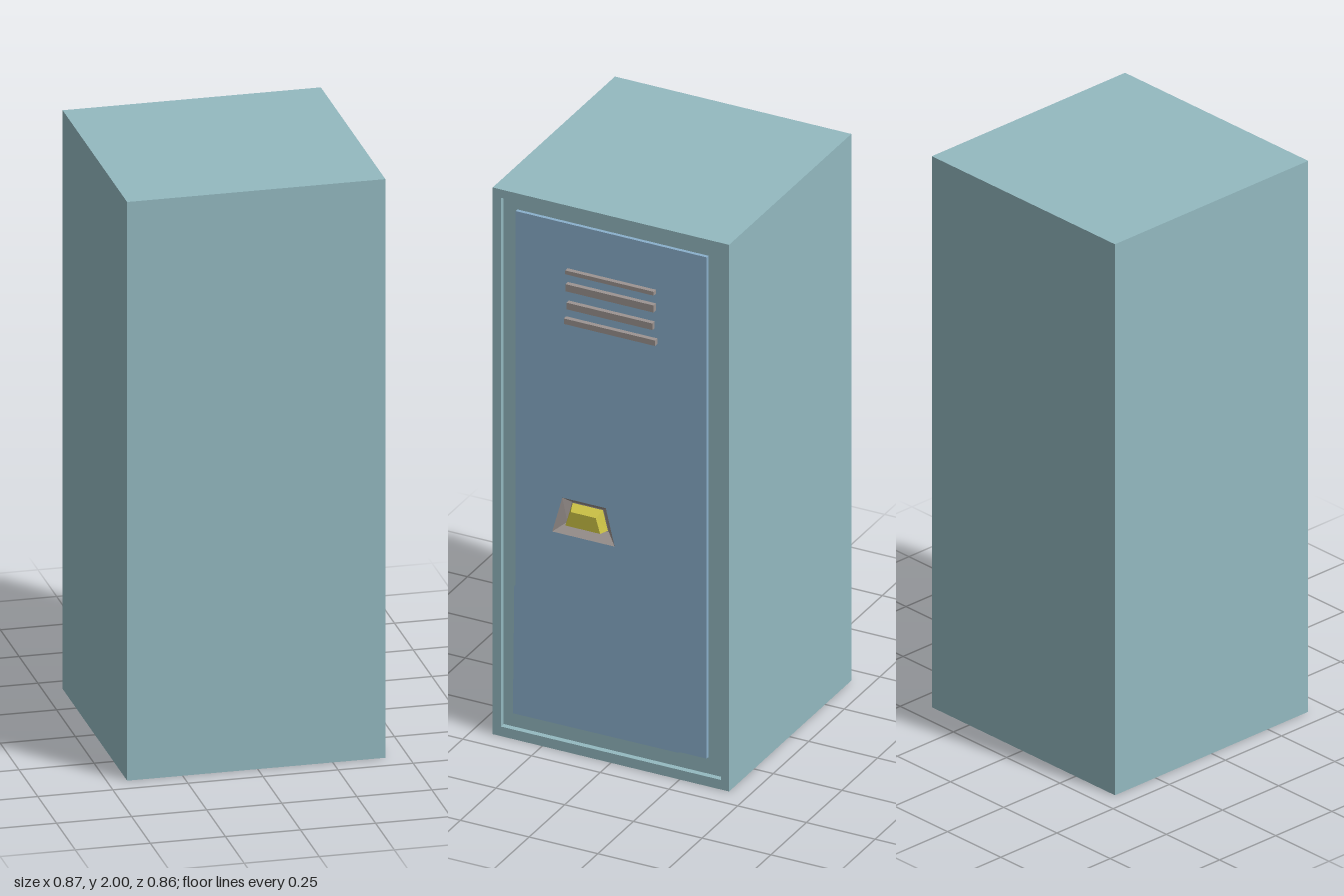
import * as THREE from 'three';

const paint = (color) => new THREE.MeshStandardMaterial({ color, flatShading: true });

// Outlines are drawn as (u, y), where u runs right across the door; the result faces +x.
const toDoorSide = (geometry) => geometry.rotateY(Math.PI / 2);

const rect = (u0, y0, u1, y1) => [[u0, y0], [u1, y0], [u1, y1], [u0, y1]];
const points = (ring) => ring.map(([u, y]) => new THREE.Vector2(u, y));

// Flat panel between two depths, with an optional opening
function panel(outline, x0, x1, hole) {
  const shape = new THREE.Shape(points(outline));
  if (hole) shape.holes.push(new THREE.Path(points(hole)));
  const geometry = new THREE.ExtrudeGeometry(shape, { depth: x1 - x0, bevelEnabled: false });
  return toDoorSide(geometry.translate(0, 0, x0));
}

// Four sloping walls between two outlines, closed by the second one
function frustum(ringA, xA, ringB, xB) {
  const a = ringA.map(([u, y]) => [u, y, xA]);
  const b = ringB.map(([u, y]) => [u, y, xB]);
  const vertices = [];
  const quad = (p, q, r, s) => vertices.push(...p, ...q, ...r, ...p, ...r, ...s);
  for (let i = 0; i < 4; i++) {
    const j = (i + 1) % 4;
    quad(a[i], a[j], b[j], b[i]);
  }
  quad(...b);
  const geometry = new THREE.BufferGeometry();
  geometry.setAttribute('position', new THREE.Float32BufferAttribute(vertices, 3));
  geometry.computeVertexNormals();
  return toDoorSide(geometry);
}

export function createModel() {
  const group = new THREE.Group();
  const teal = paint(0x93b9c0);
  const blue = paint(0x8aafcb);
  const metal = paint(0x9c9491);
  const yellow = paint(0xcac044);

  const add = (name, geometry, material) => {
    const mesh = new THREE.Mesh(geometry, material);
    mesh.name = name;
    group.add(mesh);
    return mesh;
  };

  const back = -0.435, core = 0.375, jamb = 0.405, doorFace = 0.418, front = 0.425;

  // Trapezoid outlines of the handle pocket and latch
  const pocketRim = [[-0.217, 0.79], [0.01, 0.79], [-0.022, 0.923], [-0.18, 0.923]];
  const pocketFloor = [[-0.178, 0.82], [-0.028, 0.82], [-0.046, 0.897], [-0.162, 0.897]];
  const latchBase = [[-0.175, 0.823], [-0.031, 0.823], [-0.049, 0.894], [-0.159, 0.894]];
  const latchFace = [[-0.165, 0.829], [-0.038, 0.829], [-0.054, 0.883], [-0.145, 0.883]];

  // Cabinet
  const box = new THREE.BoxGeometry(core - back, 2, 0.86);
  add('body', box.translate((core + back) / 2, 1, 0), teal);
  add('frame', panel(rect(-0.43, 0, 0.43, 2), core, front, rect(-0.4, 0.035, 0.4, 1.97)), teal);
  add('recessedPanel', panel(rect(-0.4, 0.035, 0.4, 1.97), core, jamb, pocketRim), teal);

  // Door, slightly out of square along its lower edge
  const doorOutline = [
    [-0.36, 0.09], [0.24, 0.092], [0.25, 0.096], [0.345, 0.096],
    [0.345, 1.93], [-0.35, 1.93], [-0.35, 0.565], [-0.355, 0.555],
  ];
  add('door', panel(doorOutline, jamb, doorFace, pocketRim), blue);

  // Handle
  add('handlePocket', frustum(pocketRim, doorFace, pocketFloor, 0.386), metal);
  add('latch', frustum(latchBase, 0.386, latchFace, 0.427), yellow);

  // Vent slats: centre height, thickness, width
  const slats = [[1.76, 0.014, 0.322], [1.704, 0.026, 0.32], [1.638, 0.024, 0.312], [1.58, 0.02, 0.332]];
  for (const [y, height, width] of slats) {
    const slat = add('ventSlat', new THREE.BoxGeometry(0.025, height, width), metal);
    slat.position.set(0.4225, y, 0);
  }

  return group;
}
